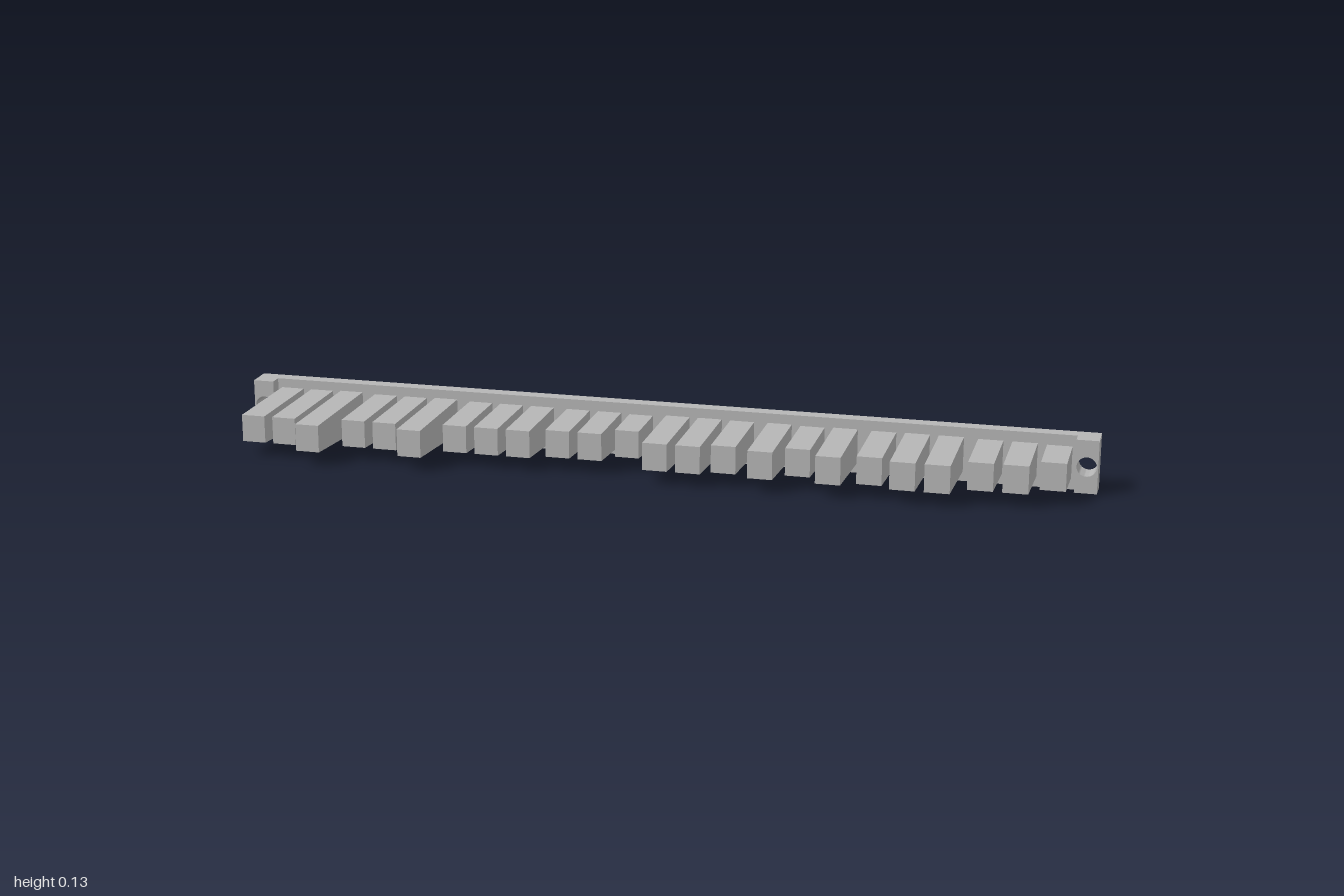
import * as THREE from 'three';
import { toCreasedNormals } from 'three/addons/utils/BufferGeometryUtils.js';

const MID = 0.0635;   // height of the long axis
const BACK = -0.149;  // rear face of the rail
const SEAT = -0.119;  // where the teeth meet the rail
const LUG = -0.091;   // front face of the end lugs

// Rectangle from x0 to x1 with round screw holes, centred on y = 0
function drilledPlate(x0, x1, holes, z0, z1) {
  const h = 0.0635;
  const shape = new THREE.Shape([[x0, -h], [x1, -h], [x1, h], [x0, h]].map(([x, y]) => new THREE.Vector2(x, y)));
  for (const x of holes) {
    shape.holes.push(new THREE.Path().absarc(x, 0, 0.022, 0, Math.PI * 2, true));
  }
  const geometry = new THREE.ExtrudeGeometry(shape, { depth: z1 - z0, bevelEnabled: false, curveSegments: 24 });
  geometry.translate(0, 0, z0);
  // Slight draft: the top and bottom faces close in towards the front
  const p = geometry.attributes.position;
  for (let i = 0; i < p.count; i++) {
    const y = p.getY(i);
    if (Math.abs(y) > 0.05) p.setY(i, y - Math.sign(y) * 0.05 * (p.getZ(i) - BACK));
  }
  geometry.translate(0, MID, 0);
  return toCreasedNormals(geometry, 0.6);
}

// Bar that grows taller from its tip back to the rail
function toothGeometry(tip) {
  const length = tip - SEAT;
  const geometry = new THREE.BoxGeometry(0.056, 0.063, length);
  const p = geometry.attributes.position;
  for (let i = 0; i < p.count; i++) {
    if (p.getZ(i) < 0) p.setY(i, p.getY(i) + Math.sign(p.getY(i)) * 0.04 * length);
  }
  geometry.translate(0, MID, (tip + SEAT) / 2);
  geometry.computeVertexNormals();
  return geometry;
}

export function createModel() {
  const group = new THREE.Group();
  const grey = new THREE.MeshStandardMaterial({ color: 0xb4b4b4 });
  grey.name = 'plain grey';
  const add = (name, geometry) => {
    const mesh = new THREE.Mesh(geometry, grey);
    mesh.name = name;
    group.add(mesh);
    return mesh;
  };

  // Rail with a screw hole at each end, and the lugs around the holes
  add('rail', drilledPlate(-1, 1, [-0.975, 0.975], BACK, SEAT));
  add('rightLug', drilledPlate(-1, -0.95, [-0.975], SEAT, LUG));
  add('leftLug', drilledPlate(0.95, 1, [0.975], SEAT, LUG));

  // Teeth in eight groups of three; each number is a length step
  const steps = [
    5, 5, 7, 4, 4, 6, 3, 3, 3, 2, 2, 0,
    4, 4, 3, 4, 2, 4, 3, 4, 4, 2, 2, 0,
  ];
  steps.forEach((step, i) => {
    const tooth = add(`tooth${i + 1}`, toothGeometry(0.003 + step * 0.021));
    tooth.position.x = (Math.floor(i / 3) - 3.5) * 0.239 + (i % 3 - 1) * 0.0758;
  });
  return group;
}
